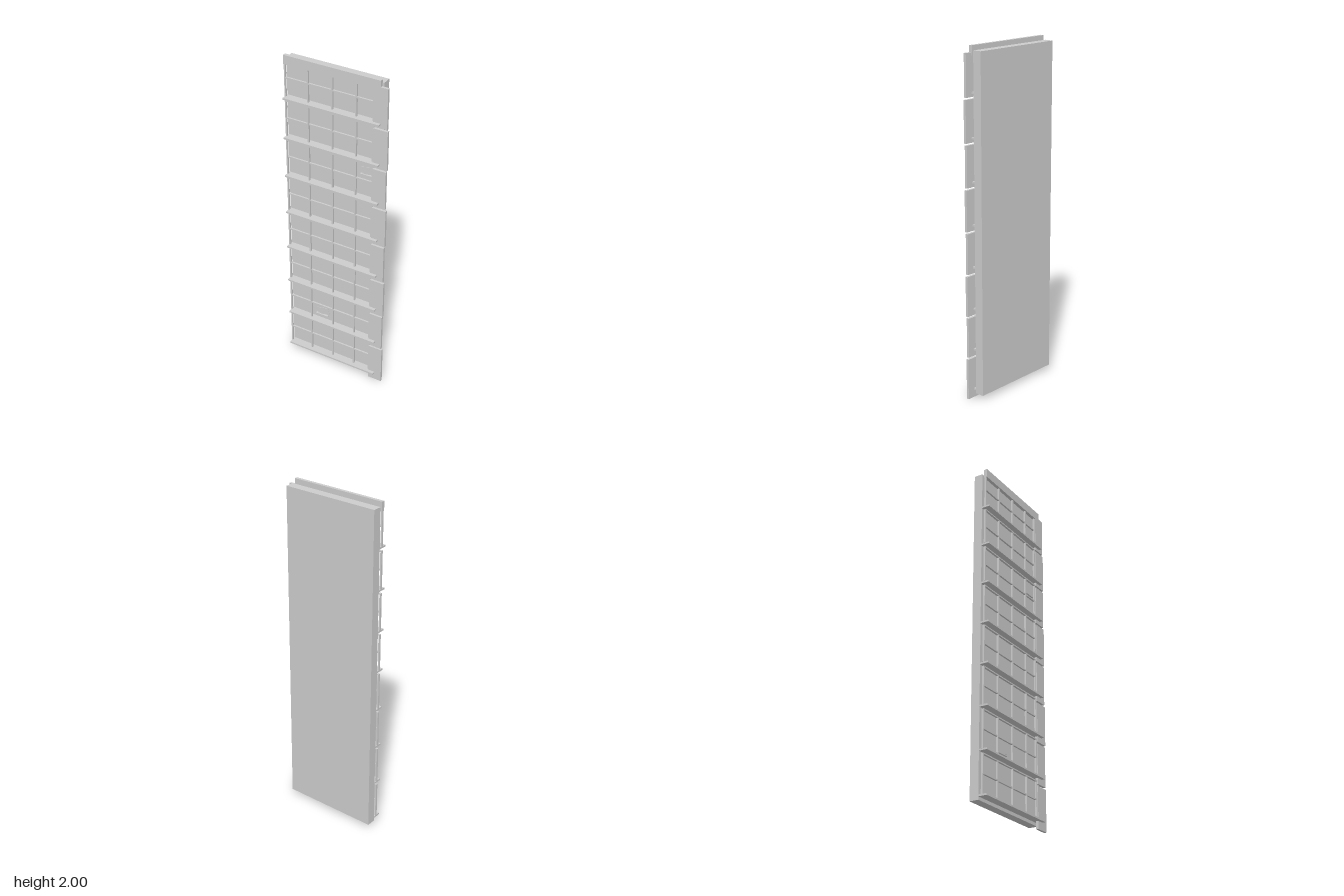
import * as THREE from 'three';

export function createModel() {
  const group = new THREE.Group();
  group.name = 'windowWall';
  const material = new THREE.MeshStandardMaterial({ color: 0xcccccc, flatShading: true });

  // Box given by its limits on each axis
  function box(name, x0, x1, y0, y1, z0, z1, parent = group) {
    const mesh = new THREE.Mesh(new THREE.BoxGeometry(x1 - x0, y1 - y0, z1 - z0), material);
    mesh.position.set((x0 + x1) / 2, (y0 + y1) / 2, (z0 + z1) / 2);
    mesh.name = name;
    parent.add(mesh);
    return mesh;
  }

  const left = -0.315, right = 0.225, end = 0.267;
  const floors = 8, step = 0.2429, firstLedge = 0.05;

  // Solid slab behind the window grid, and the beam along the top
  box('backSlab', left, end, 0.027, 1.975, -0.053, 0);
  box('topBeam', left, 0.264, 1.947, 2, 0.012, 0.031);

  // One storey: ledge, window bars and side panel
  for (let i = 0; i < floors; i++) {
    const y = firstLedge + i * step;
    const top = i === floors - 1 ? 1.947 : y + step - 0.019;
    const storey = new THREE.Group();
    storey.name = 'storey' + (i + 1);
    group.add(storey);

    box('ledge', left, end, y - 0.005, y + 0.005, 0, 0.05, storey);
    box('middleBar', left, right, y + 0.111, y + 0.119, 0.015, 0.025, storey);
    if (i < floors - 1) box('headBar', left, right, top - 0.007, top, 0.015, 0.027, storey);
    for (const x of [left + 0.003, -0.172, -0.024, 0.12, right - 0.003]) {
      box('uprightBar', x - 0.004, x + 0.004, y + 0.005, top, 0.015, 0.026, storey);
    }

    // Side panels alternate slightly in width and nearly touch
    const bottom = i === 0 ? 0 : y - 0.022 - (7 - i) * 0.003;
    const panelTop = y + 0.213 - (7 - i) * 0.003;
    box('sidePanel', right, i % 2 ? 0.306 : 0.311, bottom, panelTop, 0.016, 0.031, storey);
  }

  // Small tilted screens on flat bases, set between the bars and the slab
  for (const [x, y] of [[-0.105, 0.33], [0.183, 1.407]]) {
    const device = new THREE.Group();
    device.name = 'tiltedScreenOnBase';
    device.position.set(x, y, 0);
    group.add(device);
    box('base', -0.042, 0.04, -0.003, 0.001, 0.001, 0.014, device);
    const screen = box('screen', -0.033, 0.043, 0.003, 0.048, 0.003, 0.006, device);
    screen.rotation.z = 0.21;
  }

  return group;
}
